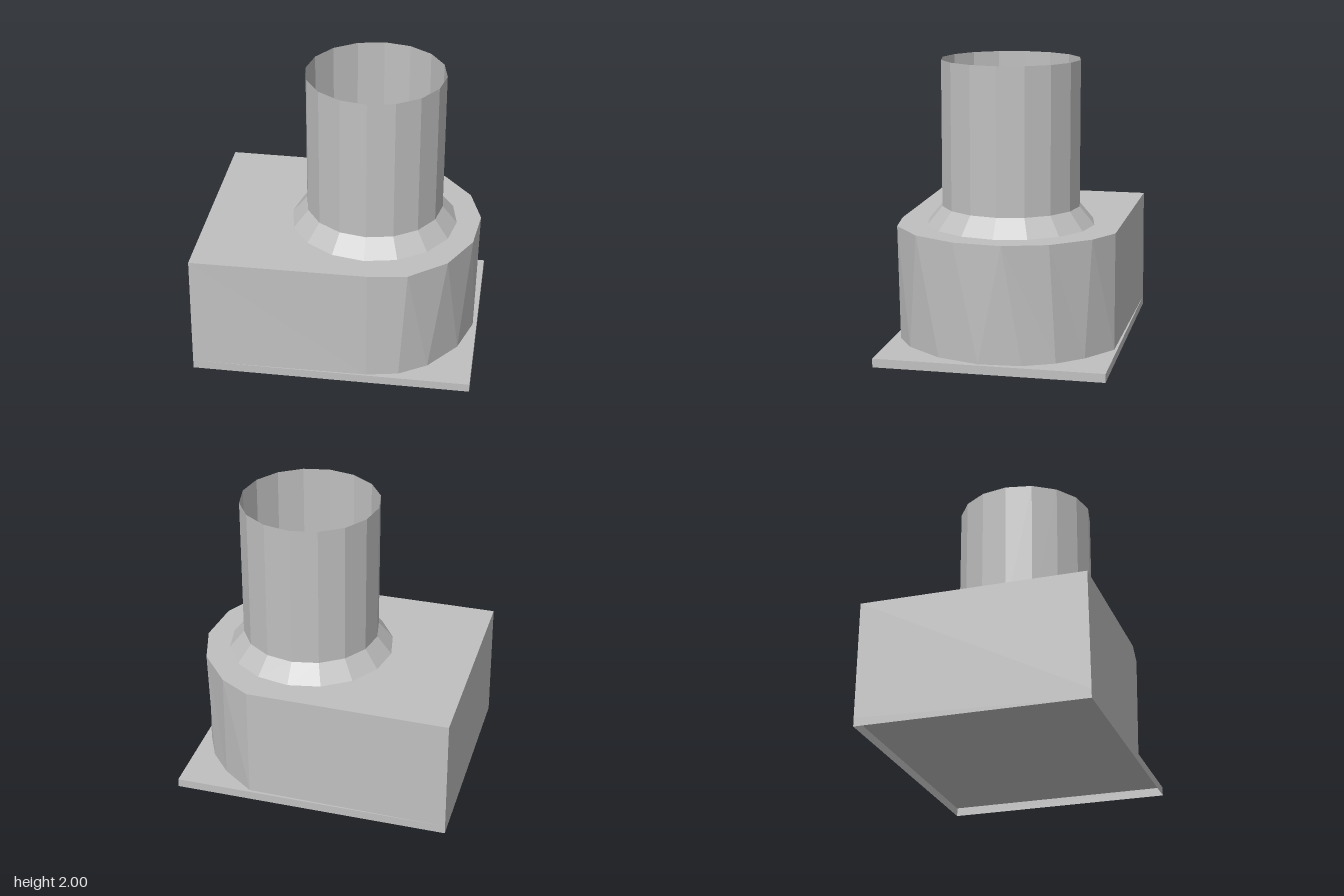
import * as THREE from 'three';

// Flat-shaded shell between two matching [x, z] outlines, capped on top and open below
function loft(bottom, top, y0, y1) {
  const pos = [];
  const n = bottom.length;
  const put = ([x, z], y) => pos.push(x, y, z);
  for (let i = 0; i < n; i++) {
    const j = (i + 1) % n;
    put(bottom[i], y0); put(bottom[j], y0); put(top[i], y1);
    put(top[i], y1); put(bottom[j], y0); put(top[j], y1);
  }
  for (let i = 1; i < n - 1; i++) {
    put(top[0], y1); put(top[i], y1); put(top[i + 1], y1);
  }
  const geo = new THREE.BufferGeometry();
  geo.setAttribute('position', new THREE.Float32BufferAttribute(pos, 3));
  geo.computeVertexNormals();
  return geo;
}

export function createModel() {
  const model = new THREE.Group();
  const metal = new THREE.MeshStandardMaterial({ name: 'paleGrey', color: 0xc0c0c0 });
  metal.flatShading = true;
  metal.side = THREE.DoubleSide;

  const add = (name, geometry, x, y, z) => {
    const mesh = new THREE.Mesh(geometry, metal);
    mesh.name = name;
    mesh.position.set(x, y, z);
    model.add(mesh);
  };

  // Shallow rectangular tray, hollow underneath
  const tray = [[-0.9675, 0.785], [0.9675, 0.785], [0.9675, -0.785], [-0.9675, -0.785]];
  add('basePlate', loft(tray, tray, 0, 0.06), 0, 0, 0);

  // Housing: square at one end, rounded at the other, slightly skewed upwards
  const bottom = [
    [-0.9675, 0.785], [0.25, 0.773], [0.47, 0.73], [0.66, 0.61], [0.85, 0.36], [0.94, 0.07],
    [0.92, -0.22], [0.82, -0.43], [0.67, -0.6], [0.44, -0.765], [-0.9675, -0.785],
  ];
  const top = [
    [-0.962, 0.773], [0.25, 0.77], [0.52, 0.73], [0.77, 0.53], [0.92, 0.24], [0.953, -0.09],
    [0.953, -0.09], [0.86, -0.39], [0.65, -0.64], [0.44, -0.763], [-0.962, -0.778],
  ];
  add('housing', loft(bottom, top, 0.06, 0.87), 0, 0, 0);

  // Sloped collar and open-topped stack
  add('collar', new THREE.CylinderGeometry(0.48, 0.583, 0.125, 16, 1, true), 0.205, 0.9325, 0);
  add('stack', new THREE.CylinderGeometry(0.48, 0.48, 1.005, 16, 1, true), 0.205, 1.4975, 0);

  return model;
}
